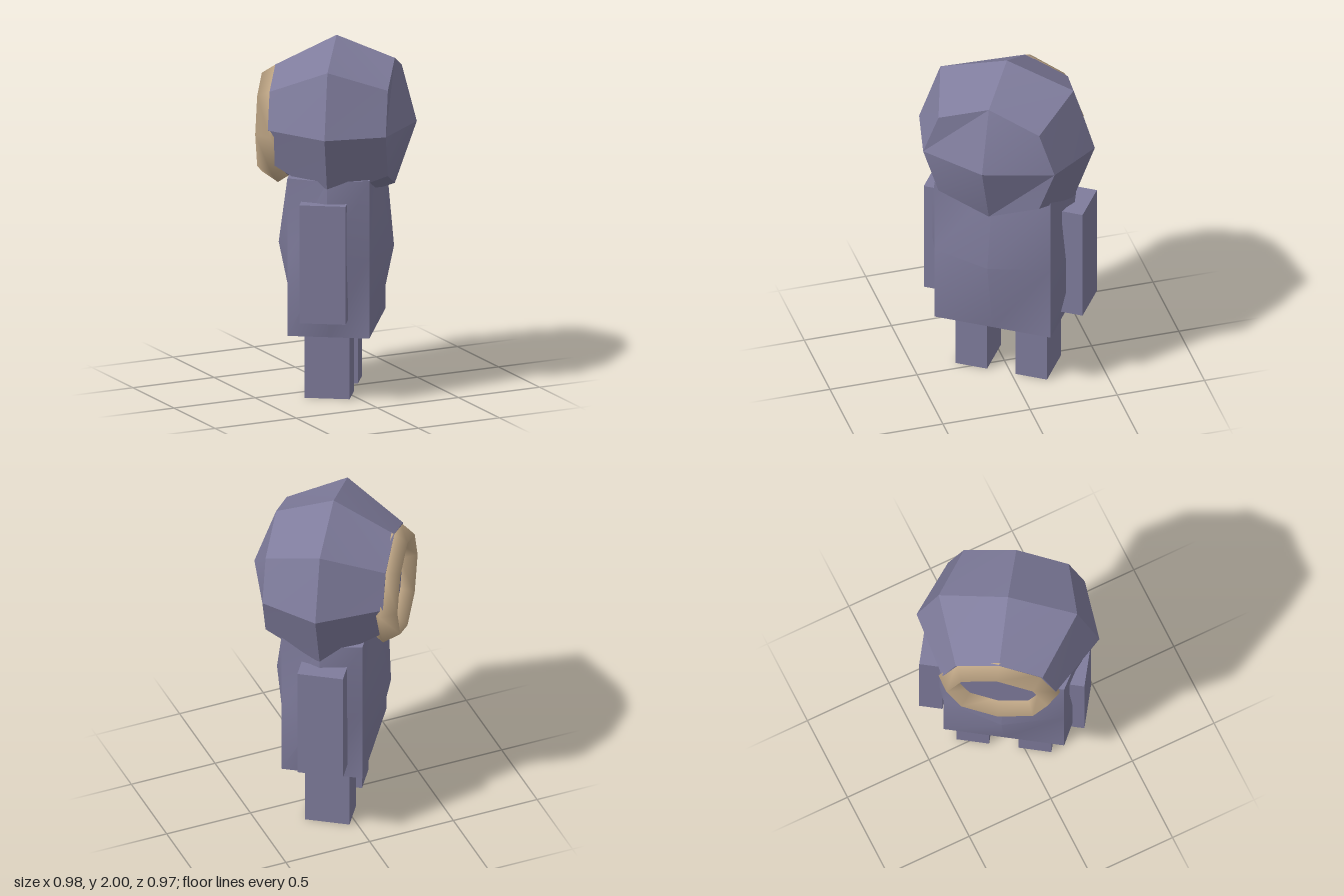
import * as THREE from 'three';
import { toCreasedNormals } from 'three/addons/utils/BufferGeometryUtils.js';

const suit = new THREE.MeshStandardMaterial({ color: 0x7f7c9c });
const trim = new THREE.MeshStandardMaterial({ color: 0xc8ae8c });

// A box split 2x2x2 whose 26 points (each coordinate -1, 0 or 1) are moved by a rule
function moldedBox(rule, crease) {
  const g = new THREE.BoxGeometry(2, 2, 2, 2, 2, 2);
  const p = g.attributes.position;
  for (let i = 0; i < p.count; i++) {
    const [x, y, z] = [p.getX(i), p.getY(i), p.getZ(i)].map(Math.round);
    p.setXYZ(i, ...rule(x, y, z));
  }
  return toCreasedNormals(g, crease);
}

// Faceted head: flat, narrower front and a gently domed back
function headPoint(x, y, z) {
  if (z === 0) {
    return x && y ? [x * 0.385, y * 0.355, 0] : [x * 0.508, y * 0.475, 0];
  }
  const s = z > 0 ? 0.83 : 1;
  const w = y ? 0.291 : 0.38;
  const h = x ? 0.242 : 0.355;
  const depth = z > 0 ? 0.34 : (x || y ? -0.323 : -0.445);
  return [x * w * s, y * h * s, depth];
}

// Torso: straight corners, each wall swelling at its middle
function bodyPoint(x, y, z) {
  let w = 0.335, d = 0.2275;
  if (z === 0) w = [0.335, 0.433, 0.39][y + 1];
  if (x === 0 && y === 0) d = 0.32;
  return [x * w, y * 0.4475, z * d];
}

function createModel() {
  const model = new THREE.Group();
  model.name = 'figure';
  const figure = new THREE.Group();
  figure.name = 'turnedFigure';
  figure.rotation.y = Math.atan2(-0.825, -0.565);
  model.add(figure);

  const add = (name, geometry, material, x, y, z) => {
    const mesh = new THREE.Mesh(geometry, material);
    mesh.name = name;
    mesh.position.set(x, y, z);
    figure.add(mesh);
    return mesh;
  };

  add('head', moldedBox(headPoint, 0.35), suit, -0.015, 1.525, 0);
  add('body', moldedBox(bodyPoint, 0.6), suit, -0.005, 0.8175, 0);

  // Ring around the face opening
  const ring = add('faceRing', new THREE.TorusGeometry(0.28, 0.058, 4, 8), trim, -0.016, 1.49, 0.326);
  ring.scale.z = 1.53;

  // Arms and legs
  for (const [side, s] of [['left', 1], ['right', -1]]) {
    add(side + 'Arm', new THREE.BoxGeometry(0.13, 0.67, 0.256), suit, -0.028 + s * 0.394, 0.805, 0.02);
    add(side + 'Leg', new THREE.BoxGeometry(0.182, 0.4, 0.25), suit, -0.017 + s * 0.173, 0.2, 0.018);
  }
  return model;
}

export { createModel };
